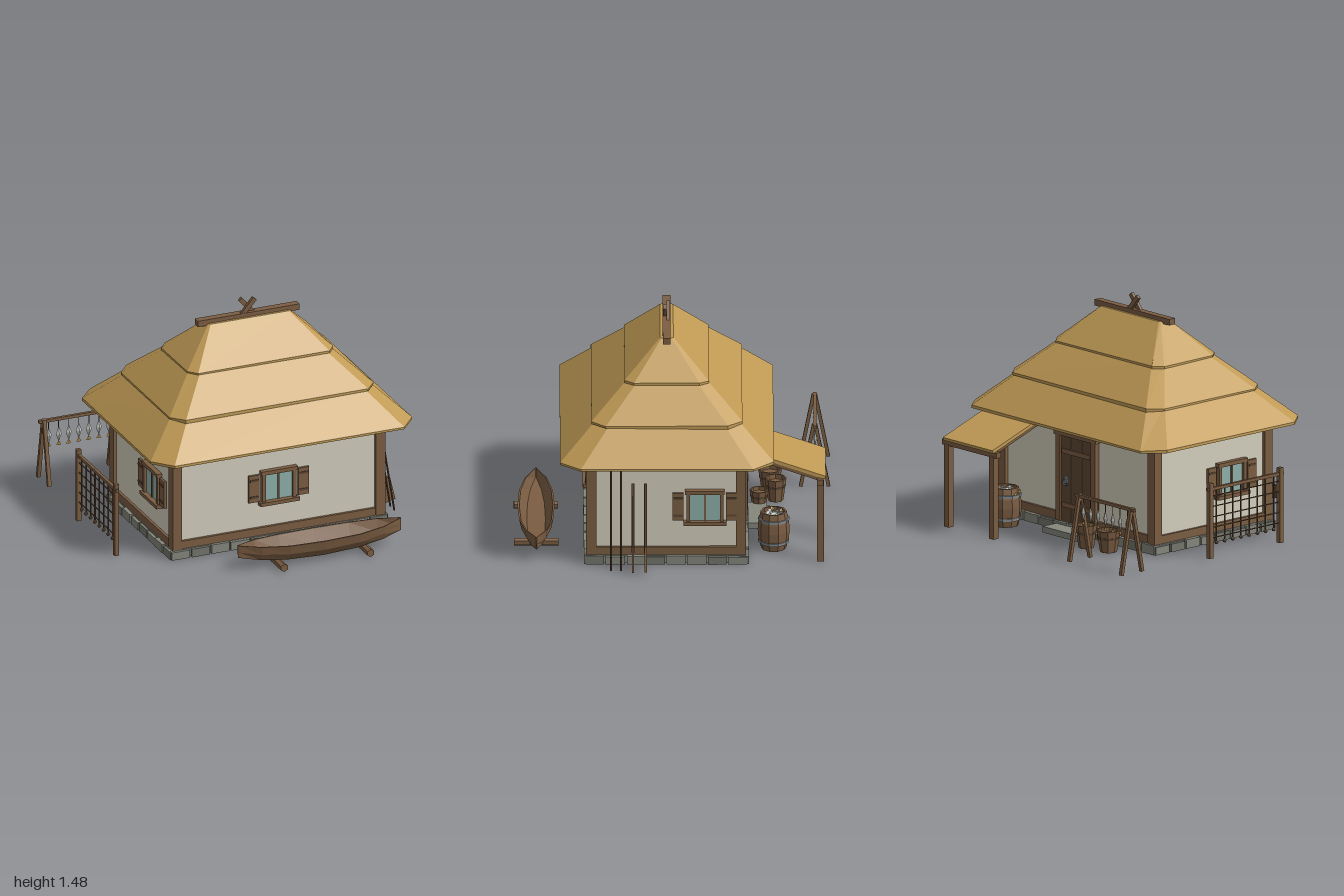
import * as THREE from 'three';

const mat = (name, color, side = THREE.FrontSide) => {
  const m = new THREE.MeshStandardMaterial({ color, side, flatShading: true });
  m.name = name;
  return m;
};

export function createModel() {
  const thatch = mat('thatch', 0xc09a55), wood = mat('timber', 0x7b5d42), darkWood = mat('dark timber', 0x5e4733);
  const plaster = mat('plaster', 0xd3cebd), stone = mat('stone', 0x85867c), stoneDark = mat('dark stone', 0x74756c);
  const glass = mat('glass', 0x8fb0aa), metal = mat('metal', 0x83888a), fishSkin = mat('fish skin', 0xc6c9c2);
  const model = new THREE.Group();
  model.name = 'fishingHut';
  const CX = 0.06, CZ = 0.04;

  let seed = 7;
  const rnd = () => (seed = (seed * 16807) % 2147483647) / 2147483647;

  const add = (parent, name, geo, m, x = 0, y = 0, z = 0) => {
    const mesh = new THREE.Mesh(geo, m);
    mesh.name = name;
    mesh.position.set(x, y, z);
    parent.add(mesh);
    return mesh;
  };
  const group = (name, x = 0, y = 0, z = 0, ry = 0) => {
    const g = new THREE.Group();
    g.name = name;
    g.position.set(x, y, z);
    g.rotation.y = ry;
    model.add(g);
    return g;
  };
  const box = (p, name, m, w, h, d, x, y, z) => add(p, name, new THREE.BoxGeometry(w, h, d), m, x, y, z);
  // Bar between two points: square (w, d) or round (w = radius)
  const bar = (p, name, m, a, b, w, d) => {
    const A = new THREE.Vector3(...a), B = new THREE.Vector3(...b), len = A.distanceTo(B);
    const geo = d ? new THREE.BoxGeometry(w, len, d) : new THREE.CylinderGeometry(w, w, len, 6);
    const mesh = add(p, name, geo, m);
    mesh.position.copy(A).add(B).multiplyScalar(0.5);
    mesh.quaternion.setFromUnitVectors(new THREE.Vector3(0, 1, 0), B.sub(A).normalize());
    return mesh;
  };
  // Skin over equal-sized rings, with end caps
  const loft = (rings) => {
    const pos = [], n = rings[0].length, last = rings[rings.length - 1];
    for (let r = 0; r < rings.length - 1; r++)
      for (let i = 0; i < n; i++) {
        const j = (i + 1) % n, a = rings[r][i], b = rings[r][j], c = rings[r + 1][j], d = rings[r + 1][i];
        pos.push(...a, ...b, ...c, ...a, ...c, ...d);
      }
    for (let i = 1; i < n - 1; i++) {
      pos.push(...rings[0][0], ...rings[0][i + 1], ...rings[0][i]);
      pos.push(...last[0], ...last[i], ...last[i + 1]);
    }
    const g = new THREE.BufferGeometry();
    g.setAttribute('position', new THREE.Float32BufferAttribute(pos, 3));
    g.computeVertexNormals();
    return g;
  };

  // Foundation: slab with irregular edge stones
  const base = group('foundation');
  box(base, 'slab', stone, 1.46, 0.056, 1.0, CX, 0.03, CZ);
  const stones = (count, length, place) => {
    for (let i = 0; i < count; i++) {
      const w = length / count * (0.86 + 0.1 * rnd()), h = 0.048 + 0.014 * rnd();
      place((i + 0.5) / count - 0.5, w, h, 0.05 + 0.012 * rnd(), i % 3 === 1 ? stoneDark : stone);
    }
  };
  for (const s of [-1, 1]) {
    stones(11, 1.5, (t, w, h, d, m) => box(base, 'edgeStone', m, w, h, d, CX + t * 1.5, h / 2, CZ + s * 0.492));
    stones(8, 1.03, (t, w, h, d, m) => box(base, 'edgeStone', m, d, h, w, CX + s * 0.723, h / 2, CZ + t * 1.03));
  }
  box(base, 'doorStep', stone, 0.34, 0.04, 0.12, CX, 0.02, -0.54);

  // Walls and timber frame
  const walls = group('walls');
  box(walls, 'plasterWalls', plaster, 1.42, 0.64, 0.96, CX, 0.38, CZ);
  for (const s of [-1, 1]) {
    for (const t of [-1, 1]) box(walls, 'cornerPost', wood, 0.065, 0.64, 0.065, CX + s * 0.7, 0.38, CZ + t * 0.473);
    for (const [y, h] of [[0.086, 0.052], [0.69, 0.022]]) {
      box(walls, 'wallBeam', wood, 1.36, h, 0.03, CX, y, CZ + s * 0.483);
      box(walls, 'wallBeam', wood, 0.03, h, 0.9, CX + s * 0.713, y, CZ);
    }
  }

  // Thatched roof in three overlapping tiers
  const roof = group('roof', CX, 0, 0.035);
  const octagon = (hx, hz, cx, cz, y, wob = 0) => [
    [hx, -hz + cz], [hx - cx, -hz], [-hx + cx, -hz], [-hx, -hz + cz],
    [-hx, hz - cz], [-hx + cx, hz], [hx - cx, hz], [hx, hz - cz],
  ].map(([x, z]) => [x, y + wob * (rnd() - 0.5), z]);
  add(roof, 'lowerThatch', loft([octagon(0.9, 0.675, 0.11, 0.13, 0.702), octagon(0.9, 0.675, 0.11, 0.13, 0.718, 0.008),
    octagon(0.67, 0.445, 0.07, 0.09, 0.935)]), thatch);
  add(roof, 'middleThatch', loft([octagon(0.702, 0.477, 0.075, 0.09, 0.91, 0.012), octagon(0.702, 0.477, 0.075, 0.09, 0.927, 0.008),
    octagon(0.47, 0.237, 0.05, 0.06, 1.15)]), thatch);
  add(roof, 'upperThatch', loft([octagon(0.502, 0.267, 0.05, 0.06, 1.12, 0.012), octagon(0.502, 0.267, 0.05, 0.06, 1.136, 0.008),
    octagon(0.28, 0.042, 0.01, 0.01, 1.355)]), thatch);
  add(roof, 'soffit', loft([octagon(0.885, 0.66, 0.11, 0.13, 0.697), octagon(0.885, 0.66, 0.11, 0.13, 0.704)]), darkWood);
  box(roof, 'ridgeBeam', wood, 0.7, 0.04, 0.05, 0, 1.362, 0);
  for (const s of [-1, 1])
    bar(roof, 'crossedFinial', wood, [-s * 0.045, 1.365, s * 0.011], [s * 0.045, 1.47, s * 0.011], 0.03, 0.022);

  // Shuttered windows on the front and both ends
  const windowAt = (x, z, ry) => {
    const g = group('window', x, 0, z, ry);
    box(g, 'glassPanes', glass, 0.19, 0.19, 0.008, 0, 0.387, 0.008);
    box(g, 'mullion', wood, 0.012, 0.19, 0.016, 0, 0.387, 0.012);
    box(g, 'lintel', wood, 0.25, 0.026, 0.045, 0, 0.487, 0.012);
    box(g, 'sill', wood, 0.27, 0.024, 0.06, 0, 0.278, 0.015);
    for (const s of [-1, 1]) {
      box(g, 'sideFrame', wood, 0.024, 0.2, 0.035, s * 0.106, 0.385, 0.012);
      box(g, 'shutter', wood, 0.072, 0.185, 0.016, s * 0.17, 0.387, 0.015);
      for (const y of [0.33, 0.445]) box(g, 'shutterBatten', darkWood, 0.06, 0.014, 0.006, s * 0.17, y, 0.025);
    }
  };
  windowAt(CX, 0.52, 0);
  windowAt(0.77, -0.205, Math.PI / 2);
  windowAt(-0.65, 0.2, -Math.PI / 2);

  // Back door
  const door = group('door', CX, 0, -0.44, Math.PI);
  box(door, 'doorLeaf', darkWood, 0.29, 0.56, 0.03, 0, 0.34, 0.01);
  for (const x of [-0.05, 0.05]) box(door, 'plankGap', wood, 0.006, 0.55, 0.004, x, 0.34, 0.026);
  for (const y of [0.17, 0.52]) box(door, 'doorBatten', wood, 0.26, 0.03, 0.01, 0, y, 0.028);
  for (const s of [-1, 1]) box(door, 'doorPost', wood, 0.04, 0.57, 0.05, s * 0.165, 0.345, 0.012);
  box(door, 'doorLintel', wood, 0.39, 0.04, 0.055, 0, 0.64, 0.014);
  box(door, 'handlePlate', metal, 0.03, 0.05, 0.008, -0.09, 0.335, 0.03);
  add(door, 'ringHandle', new THREE.TorusGeometry(0.02, 0.005, 6, 10), metal, -0.09, 0.32, 0.038);

  // Lean-to porch beside the door
  const porch = group('porch');
  bar(porch, 'porchThatch', thatch, [0.528, 0.722, -0.54], [0.528, 0.573, -0.965], 0.466, 0.022);
  box(porch, 'porchBeam', wood, 0.51, 0.035, 0.042, 0.53, 0.55, -0.933);
  for (const x of [0.32, 0.74]) {
    box(porch, 'porchPost', wood, 0.042, 0.54, 0.042, x, 0.27, -0.935);
    bar(porch, 'porchRafter', wood, [x, 0.7, -0.53], [x, 0.556, -0.94], 0.025, 0.02);
  }

  // Fish hung or piled
  const fish = (p, x, y, z, tilt = 0) => {
    const f = new THREE.Group();
    f.name = 'fish';
    f.position.set(x, y, z);
    f.rotation.set(tilt * 0.6, tilt * 2, tilt);
    add(f, 'fishBody', new THREE.OctahedronGeometry(1), fishSkin).scale.set(0.02, 0.055, 0.011);
    add(f, 'fishTail', new THREE.ConeGeometry(0.018, 0.03, 4), thatch, 0, -0.06, 0).scale.z = 0.4;
    p.add(f);
  };

  // Barrel of fish under the porch
  const barrel = group('barrel', 0.53, 0, -0.64);
  const profile = [[0, 0], [0.08, 0], [0.097, 0.07], [0.101, 0.125], [0.097, 0.18], [0.082, 0.25], [0.07, 0.25], [0.07, 0.225], [0, 0.225]];
  add(barrel, 'staves', new THREE.LatheGeometry(profile.map((q) => new THREE.Vector2(...q)), 10), wood);
  for (const [y, r] of [[0.05, 0.096], [0.2, 0.097]])
    add(barrel, 'hoop', new THREE.CylinderGeometry(r + 0.002, r + 0.002, 0.018, 10, 1), metal, 0, y, 0);
  for (let i = 0; i < 5; i++)
    fish(barrel, 0.035 * Math.cos(i * 1.26), 0.236, 0.035 * Math.sin(i * 1.26), 1.2 + 0.2 * i);

  // Wooden buckets by the back wall
  for (const [x, z, r, h] of [[-0.41, -0.62, 0.075, 0.14], [-0.24, -0.655, 0.068, 0.15], [-0.12, -0.55, 0.06, 0.12]]) {
    const b = group('bucket', x, 0, z);
    const pts = [[0, 0], [r * 0.72, 0], [r, h], [r * 0.86, h], [r * 0.82, h * 0.8], [0, h * 0.8]];
    add(b, 'bucketStaves', new THREE.LatheGeometry(pts.map((q) => new THREE.Vector2(...q)), 8), wood);
    add(b, 'bucketHoop', new THREE.CylinderGeometry(r * 0.95, r * 0.92, 0.014, 8), darkWood, 0, h * 0.65, 0);
  }

  // Fish drying rack
  const rack = group('dryingRack');
  bar(rack, 'rackBar', wood, [-0.97, 0.42, -0.905], [-0.415, 0.42, -0.905], 0.02, 0.02);
  for (const x of [-0.935, -0.45])
    for (const s of [-1, 1])
      bar(rack, 'rackLeg', wood, [x, 0.005, -0.902 + s * 0.088], [x, 0.43, -0.902 + s * 0.005], 0.024, 0.022);
  for (let i = 0; i < 7; i++) {
    const x = -0.9 + i * 0.069;
    bar(rack, 'string', darkWood, [x, 0.36, -0.905], [x, 0.42, -0.905], 0.003);
    fish(rack, x, 0.315, -0.905);
  }

  // Net hung on a frame with floats along its foot
  const net = group('netFrame', -0.972);
  for (const z of [-0.265, 0.335]) box(net, 'netPost', wood, 0.03, 0.49, 0.03, 0, 0.245, z);
  bar(net, 'netBar', wood, [0, 0.45, -0.29], [0, 0.45, 0.36], 0.02, 0.02);
  for (let i = 0; i < 8; i++) {
    const z = -0.21 + i * 0.07;
    bar(net, 'netCord', darkWood, [0, 0.1, z], [0, 0.46, z], 0.005);
    add(net, 'float', new THREE.IcosahedronGeometry(0.014), wood, 0, 0.095, z);
  }
  for (let i = 0; i < 5; i++) bar(net, 'netCord', darkWood, [0, 0.13 + i * 0.068, -0.265], [0, 0.13 + i * 0.068, 0.335], 0.004);

  // Boat on log rollers
  const boat = group('boat', 0.2, 0, 0.86);
  const stations = [[0.56, 0.004, 0.085, 0.17], [0.42, 0.07, 0.06, 0.16], [0.24, 0.107, 0.042, 0.152], [0, 0.118, 0.034, 0.15]];
  const all = [...stations.map(([x, ...q]) => [-x, ...q]), ...stations.slice(0, 3).reverse()];
  add(boat, 'hull', loft(all.map(([x, w, lo, hi]) => {
    const mid = lo + (hi - lo) * 0.45, floor = lo + 0.02;
    return [[1, hi], [0.88, mid], [0.55, lo], [-0.55, lo], [-0.88, mid], [-1, hi],
      [-0.9, hi], [-0.5, floor], [0.5, floor], [0.9, hi]].map(([k, y]) => [x, y, k * w]);
  })), wood);
  for (const x of [-0.3, 0.295]) bar(boat, 'roller', wood, [x, 0.025, -0.14], [x, 0.025, 0.14], 0.026);

  // Oars and poles leaning on the end wall
  const oars = group('oarsAndPoles');
  for (const z of [0.17, 0.25]) {
    bar(oars, 'oarShaft', wood, [0.822, 0.56, z], [0.925, 0.13, z], 0.009);
    bar(oars, 'oarBlade', wood, [0.912, 0.17, z], [0.95, 0.01, z], 0.07, 0.014);
  }
  for (const z of [0.325, 0.388]) bar(oars, 'pole', darkWood, [0.81, 0.695, z], [0.92, 0.004, z], 0.006);

  return model;
}
